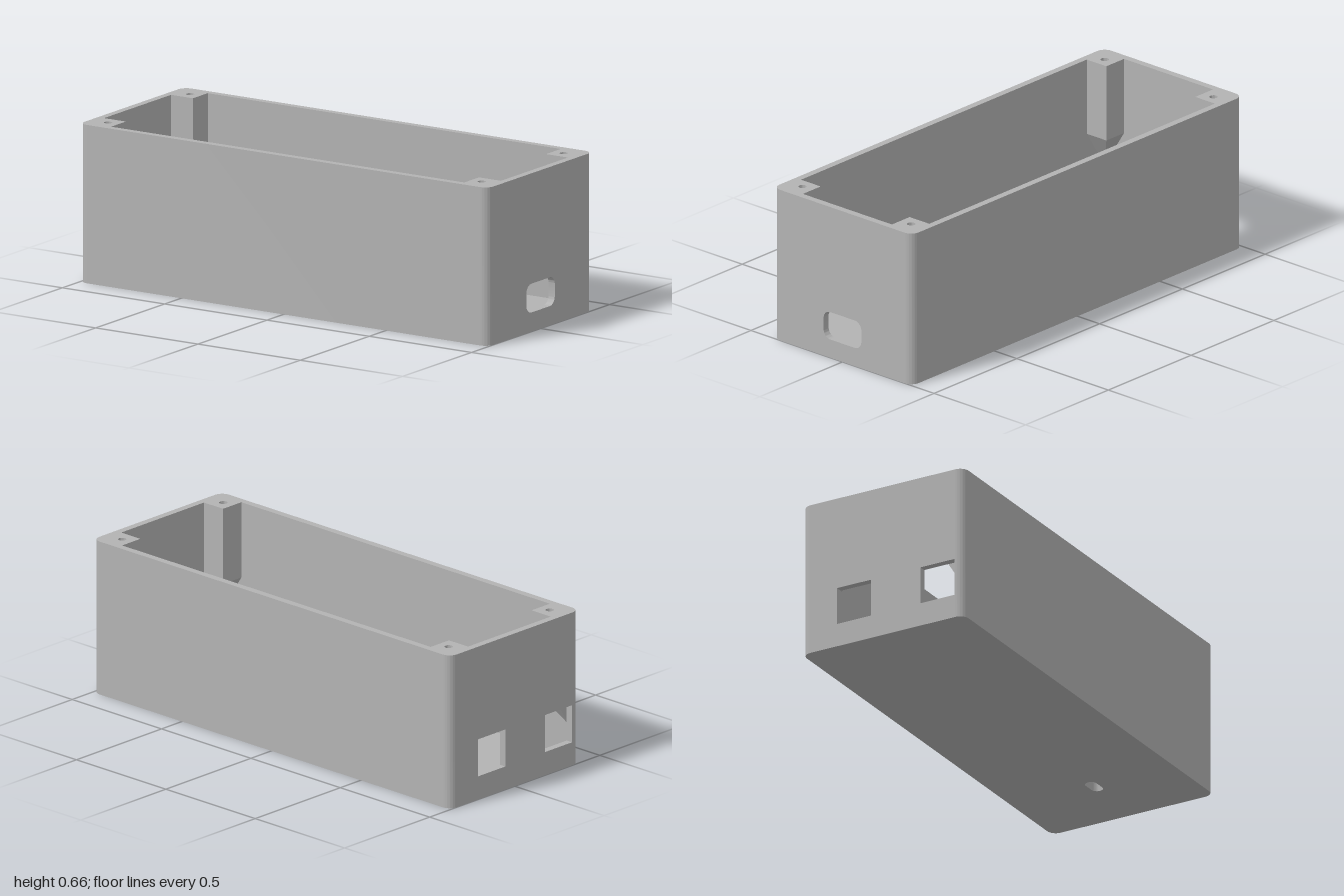
import * as THREE from 'three';
import { toCreasedNormals } from 'three/addons/utils/BufferGeometryUtils.js';

const HEIGHT = 0.66, FLOOR = 0.03, BOSS_TOP = 0.09;
const INX = 0.97, INZ = 0.35;   // inner half sizes of the cavity
const R = 0.04;                 // outer corner radius

// Rounded rectangle as a Shape or a Path (for holes)
function roundRect(x0, y0, x1, y1, r = 0, Type = THREE.Shape) {
  const p = new Type();
  if (r === 0) {
    p.moveTo(x0, y0).lineTo(x1, y0).lineTo(x1, y1).lineTo(x0, y1).lineTo(x0, y0);
    return p;
  }
  p.moveTo(x0 + r, y0);
  p.absarc(x1 - r, y0 + r, r, -Math.PI / 2, 0);
  p.absarc(x1 - r, y1 - r, r, 0, Math.PI / 2);
  p.absarc(x0 + r, y1 - r, r, Math.PI / 2, Math.PI);
  p.absarc(x0 + r, y0 + r, r, Math.PI, Math.PI * 1.5);
  return p;
}

function circle(x, y, r, Type = THREE.Shape) {
  const p = new Type();
  p.absarc(x, y, r, 0, Math.PI * 2);
  return p;
}

function extrude(shape, depth) {
  return new THREE.ExtrudeGeometry(shape, { depth, bevelEnabled: false, curveSegments: 12 });
}

// Plan shape (shape y = -z) raised from y0 to y1
function raise(shape, y0, y1) {
  return toCreasedNormals(extrude(shape, y1 - y0).rotateX(-Math.PI / 2).translate(0, y0, 0), 0.6);
}

export function createModel() {
  const group = new THREE.Group();
  const grey = new THREE.MeshStandardMaterial({ color: 0xb3b3b3 });
  grey.name = 'grey plastic';

  const add = (name, geometry) => {
    const mesh = new THREE.Mesh(geometry, grey);
    mesh.name = name;
    group.add(mesh);
    return mesh;
  };

  // Floor with a cable slot, and the raised collar round the slot
  const slot = () => roundRect(0.64, -0.025, 0.735, 0.025, 0.0249, THREE.Path);
  const floor = roundRect(-INX, -INZ, INX, INZ);
  floor.holes.push(slot());
  add('floor', raise(floor, 0, FLOOR));
  const collar = roundRect(0.611, -0.054, 0.764, 0.054, 0.0535);
  collar.holes.push(slot());
  add('slotCollar', raise(collar, FLOOR, BOSS_TOP));

  // Long walls, carrying the rounded outer corners
  const zc = 0.38 - R;
  for (const [name, turn] of [['backWall', 0], ['frontWall', Math.PI]]) {
    const s = new THREE.Shape();
    s.moveTo(INX, zc).lineTo(1, zc);
    s.absarc(1 - R, zc, R, 0, Math.PI / 2);
    s.absarc(-1 + R, zc, R, Math.PI / 2, Math.PI);
    s.lineTo(-INX, zc).lineTo(-INX, INZ).lineTo(INX, INZ);
    add(name, raise(s, 0, HEIGHT).rotateY(turn));
  }

  // End walls with their openings (shape x = -z)
  const endWall = (name, x, openings) => {
    const s = roundRect(-zc, 0, zc, HEIGHT);
    s.holes.push(...openings);
    const g = extrude(s, 1 - INX).rotateY(Math.PI / 2).translate(x, 0, 0);
    add(name, toCreasedNormals(g, 0.6));
  };
  endWall('leftEndWall', INX, [roundRect(-0.103, 0.08, 0.103, 0.2, 0.036, THREE.Path)]);
  endWall('rightEndWall', -1, [
    roundRect(0.055, 0.1, 0.215, 0.26, 0, THREE.Path),
    roundRect(-0.337, 0.1, -0.177, 0.26, 0, THREE.Path),
  ]);

  // Corner screw posts, tapering below into the corner
  const px = 0.863, pz = 0.243, postY = 0.335, taper = 0.17;
  for (const sx of [-1, 1]) for (const sz of [-1, 1]) {
    const xs = [sx * px, sx * INX].sort((a, b) => a - b);
    const ys = [-sz * pz, -sz * INZ].sort((a, b) => a - b);
    const s = roundRect(xs[0], ys[0], xs[1], ys[1]);
    s.holes.push(circle(sx * 0.913, -sz * 0.297, 0.017, THREE.Path));
    add('cornerPost', raise(s, postY, HEIGHT));

    const g = new THREE.BoxGeometry(INX - px, taper, INZ - pz).toNonIndexed();
    g.translate(sx * (INX + px) / 2, postY - taper / 2, sz * (INZ + pz) / 2);
    const p = g.attributes.position;
    for (let i = 0; i < p.count; i++) {
      if (p.getY(i) < postY - taper / 2) {
        p.setX(i, sx * INX);
        p.setZ(i, sz * INZ);
      }
    }
    g.computeVertexNormals();
    add('postTaper', g);
  }

  // Hollow circuit board standoffs
  const spots = [[-0.775, -0.293], [0.133, -0.293], [-0.16, -0.11],
    [-0.16, 0.23], [-0.79, 0.292], [0.21, 0.292]];
  for (const [x, z] of spots) {
    const s = circle(x, -z, 0.032);
    s.holes.push(circle(x, -z, 0.016, THREE.Path));
    add('standoff', raise(s, FLOOR, BOSS_TOP));
  }

  return group;
}
